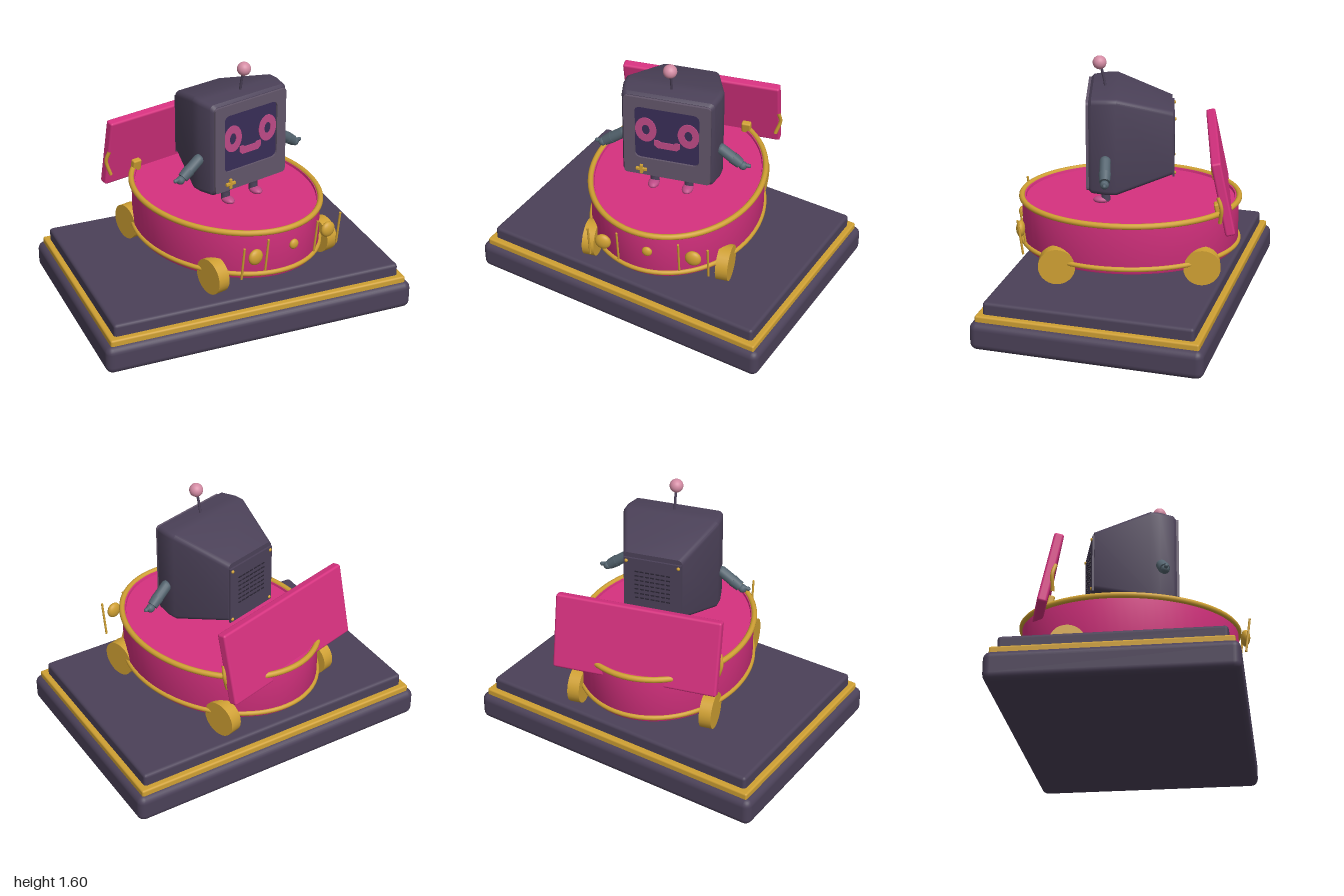
import * as THREE from 'three';
import { toCreasedNormals } from 'three/addons/utils/BufferGeometryUtils.js';
import { RoundedBoxGeometry } from 'three/addons/geometries/RoundedBoxGeometry.js';

const V = (x, y, z) => new THREE.Vector3(x, y, z);

function paint(name, color) {
  const m = new THREE.MeshStandardMaterial({ color });
  m.name = name;
  return m;
}

// Corner points of a rounded rectangle, counter-clockwise
function roundedRect(hw, y0, y1, r) {
  const pts = [];
  const corners = [[hw - r, y1 - r], [r - hw, y1 - r], [r - hw, y0 + r], [hw - r, y0 + r]];
  corners.forEach(([cx, cy], k) => {
    for (let i = 0; i <= 4; i++) {
      const a = (k + i / 4) * Math.PI / 2;
      pts.push(new THREE.Vector2(cx + r * Math.cos(a), cy + r * Math.sin(a)));
    }
  });
  return pts;
}

// Closed skin through sections [z, halfWidth, bottom, top], front to back
function loft(sections, r) {
  const rings = sections.map(([z, hw, y0, y1]) => roundedRect(hw, y0, y1, r).map(p => V(p.x, p.y, z)));
  const n = rings[0].length, last = rings.length - 1, pos = [];
  const tri = (...ps) => ps.forEach(p => pos.push(p.x, p.y, p.z));
  const mid = i => V(0, (sections[i][2] + sections[i][3]) / 2, sections[i][0]);
  for (let j = 0; j < n; j++) {
    const k = (j + 1) % n;
    for (let i = 0; i < last; i++) {
      tri(rings[i][j], rings[i + 1][j], rings[i][k]);
      tri(rings[i][k], rings[i + 1][j], rings[i + 1][k]);
    }
    tri(mid(0), rings[0][j], rings[0][k]);
    tri(mid(last), rings[last][k], rings[last][j]);
  }
  const g = new THREE.BufferGeometry();
  g.setAttribute('position', new THREE.Float32BufferAttribute(pos, 3));
  return toCreasedNormals(g, 0.5);
}

const tube = (pts, r) => new THREE.TubeGeometry(new THREE.CatmullRomCurve3(pts), 12, r, 8);
const flat = (shape, depth) => new THREE.ExtrudeGeometry(shape, { depth, bevelEnabled: false, curveSegments: 20 });

export function createModel() {
  const model = new THREE.Group();
  const pink = paint('cart pink', 0xd6317f);
  const gold = paint('gold', 0xcfa033);
  const dark = paint('dark plum', 0x4b4158);
  const bezelGrey = paint('bezel grey', 0x62566a);
  const screenBlue = paint('screen indigo', 0x382d57);
  const facePink = paint('face pink', 0xbd4a86);
  const slate = paint('slate', 0x54646f);
  const blush = paint('antenna blush', 0xd48ca4);
  const black = paint('vent black', 0x2a2533);

  const add = (parent, name, geo, mat, x = 0, y = 0, z = 0) => {
    const m = new THREE.Mesh(geo, mat);
    m.name = name;
    m.position.set(x, y, z);
    parent.add(m);
    return m;
  };
  const group = (parent, name) => {
    const g = new THREE.Group();
    g.name = name;
    parent.add(g);
    return g;
  };

  // Stepped plinth
  const base = group(model, 'plinth');
  add(base, 'lowerSlab', new RoundedBoxGeometry(2, 0.178, 1.42, 3, 0.045), dark, 0, 0.089, 0);
  add(base, 'goldSlab', new RoundedBoxGeometry(1.93, 0.06, 1.36, 2, 0.012), gold, 0, 0.184, 0);
  add(base, 'upperSlab', new RoundedBoxGeometry(1.86, 0.1, 1.285, 2, 0.02), dark, 0, 0.24, 0);

  // Everything on the plinth is turned a little
  const rider = group(model, 'cartAndRobot');
  rider.position.set(0.035, 0, -0.01);
  rider.rotation.y = Math.PI / 12;

  // Oval cart
  const cart = group(rider, 'cart');
  const tubProfile = [[0, 0.4], [0.985, 0.4], [1, 0.42], [1, 0.715], [0.965, 0.715], [0.96, 0.7], [0, 0.7]];
  const tub = new THREE.LatheGeometry(tubProfile.map(p => new THREE.Vector2(...p)), 64);
  tub.scale(0.53, 1, 0.67);
  add(cart, 'tub', toCreasedNormals(tub, 0.6), pink);
  const oval = (a, b, r) => {
    const pts = Array.from({ length: 32 }, (_, i) => V(a * Math.cos(i * Math.PI / 16), 0, b * Math.sin(i * Math.PI / 16)));
    return new THREE.TubeGeometry(new THREE.CatmullRomCurve3(pts, true), 80, r, 10, true);
  };
  add(cart, 'topRim', oval(0.532, 0.672, 0.018), gold, 0, 0.71, 0);
  add(cart, 'bottomRim', oval(0.532, 0.672, 0.015), gold, 0, 0.435, 0);

  // Wheels, lid hinges and lid stays
  for (const s of [-1, 1]) {
    for (const t of [-1, 1]) {
      add(cart, 'wheel', new THREE.CylinderGeometry(0.112, 0.112, 0.075, 28), gold, s * 0.422, 0.415, t * 0.435)
        .rotation.z = Math.PI / 2;
    }
    add(cart, 'hinge', new RoundedBoxGeometry(0.06, 0.08, 0.04, 2, 0.01), gold, s * 0.3, 0.735, -0.53).rotation.x = 0.21;
    add(cart, 'lidStay', tube([V(s * 0.505, 0.89, -0.52), V(s * 0.518, 0.82, -0.54), V(s * 0.49, 0.72, -0.535)], 0.012), gold);
    // Headlamp with a guard bar on each side
    const lamp = add(cart, 'headlamp', new THREE.SphereGeometry(0.05, 20, 14), gold, s * 0.28, 0.59, 0.66);
    lamp.scale.z = 0.55;
    for (const d of [-0.09, 0.09]) {
      add(cart, 'lampGuard', new THREE.CylinderGeometry(0.007, 0.007, 0.22, 8), gold, s * 0.28 + d, 0.57, 0.655)
        .rotation.x = 0.13;
    }
  }
  const button = add(cart, 'noseLamp', new THREE.SphereGeometry(0.032, 16, 12), gold, 0, 0.59, 0.675);
  button.scale.z = 0.6;

  // Raised lid at the back
  add(cart, 'lid', new RoundedBoxGeometry(1.025, 0.465, 0.06, 2, 0.014), pink, 0, 0.872, -0.55).rotation.x = 0.21;

  // Robot head: chamfered front, tapered back
  const robot = group(rider, 'robot');
  add(robot, 'head', loft([
    [0.245, 0.272, 0.828, 1.39], [0.228, 0.285, 0.815, 1.405], [0.14, 0.303, 0.81, 1.413],
    [0.08, 0.303, 0.81, 1.413], [-0.255, 0.185, 0.9, 1.305]], 0.03), dark);

  // Bezel framing the screen
  const frame = new THREE.Shape(roundedRect(0.268, 0.832, 1.387, 0.02));
  frame.holes.push(new THREE.Path(roundedRect(0.2, 0.955, 1.322, 0.035).reverse()));
  add(robot, 'bezel', flat(frame, 0.018), bezelGrey, 0, 0, 0.243);
  add(robot, 'screen', flat(new THREE.Shape(roundedRect(0.202, 0.953, 1.324, 0.035)), 0.006), screenBlue, 0, 0, 0.243);

  // Ring eyes and mouth
  const eye = new THREE.Shape().absellipse(0, 0, 0.066, 0.085, 0, Math.PI * 2);
  eye.holes.push(new THREE.Path().absellipse(0, 0, 0.024, 0.036, 0, Math.PI * 2, true));
  for (const s of [-1, 1]) add(robot, 'eye', flat(eye, 0.005), facePink, s * 0.132, 1.16, 0.249);
  const mouth = new THREE.Shape([[-0.06, 1.04], [0.06, 1.04], [0.08, 1.058], [0.08, 1.095], [0.052, 1.095],
    [0.04, 1.085], [-0.04, 1.085], [-0.052, 1.095], [-0.08, 1.095], [-0.08, 1.058]].map(p => new THREE.Vector2(...p)));
  add(robot, 'mouth', flat(mouth, 0.005), facePink, 0, 0, 0.249);

  // Plus-shaped button
  add(robot, 'plusBar', new RoundedBoxGeometry(0.07, 0.02, 0.02, 1, 0.004), gold, -0.158, 0.875, 0.264);
  add(robot, 'plusPost', new RoundedBoxGeometry(0.02, 0.064, 0.02, 1, 0.004), gold, -0.158, 0.875, 0.264);

  // Back panel with vents and screws
  add(robot, 'backPanel', new THREE.BoxGeometry(0.36, 0.38, 0.012), dark, 0, 1.085, -0.261);
  for (let row = 0; row < 7; row++) {
    for (let col = -3; col <= 3; col++) {
      add(robot, 'vent', new THREE.BoxGeometry(0.024, 0.008, 0.004), black, col * 0.033, 1.19 - row * 0.03, -0.268);
    }
  }
  for (const s of [-1, 1]) {
    for (const y of [0.915, 1.255]) {
      add(robot, 'screw', new THREE.SphereGeometry(0.011, 10, 8), gold, s * 0.163, y, -0.267);
    }
  }

  // Antenna
  add(robot, 'antennaRod', tube([V(0, 1.4, 0.15), V(0, 1.47, 0.163), V(0, 1.54, 0.18)], 0.008), dark);
  add(robot, 'antennaBall', new THREE.SphereGeometry(0.042, 24, 16), blush, 0, 1.555, 0.186);

  // Arms and legs
  for (const s of [-1, 1]) {
    const arm = group(robot, s > 0 ? 'leftArm' : 'rightArm');
    arm.position.set(s * 0.3, 1.04, 0.145);
    arm.rotation.z = s * 0.95;
    add(arm, 'upperArm', new THREE.CapsuleGeometry(0.034, 0.1, 6, 14), slate, 0, -0.06, 0);
    add(arm, 'forearm', new THREE.CylinderGeometry(0.037, 0.032, 0.06, 14), slate, 0, -0.125, 0);
    add(arm, 'hand', new THREE.SphereGeometry(0.027, 12, 10), slate, 0, -0.175, 0);
    const thumb = add(arm, 'thumb', new THREE.CapsuleGeometry(0.013, 0.03, 4, 8), slate, s * 0.018, -0.19, 0);
    thumb.rotation.z = s * 0.5;

    const leg = group(robot, s > 0 ? 'leftLeg' : 'rightLeg');
    leg.position.set(s * 0.108, 0, 0.15);
    add(leg, 'thigh', new THREE.CylinderGeometry(0.031, 0.027, 0.06, 16), dark, 0, 0.792, 0);
    add(leg, 'shin', new THREE.CylinderGeometry(0.025, 0.029, 0.06, 16), dark, 0, 0.744, 0);
    const foot = add(leg, 'foot', new THREE.SphereGeometry(0.035, 16, 10), facePink, 0, 0.715, 0.025);
    foot.scale.set(1, 0.65, 1.5);
  }
  return model;
}
